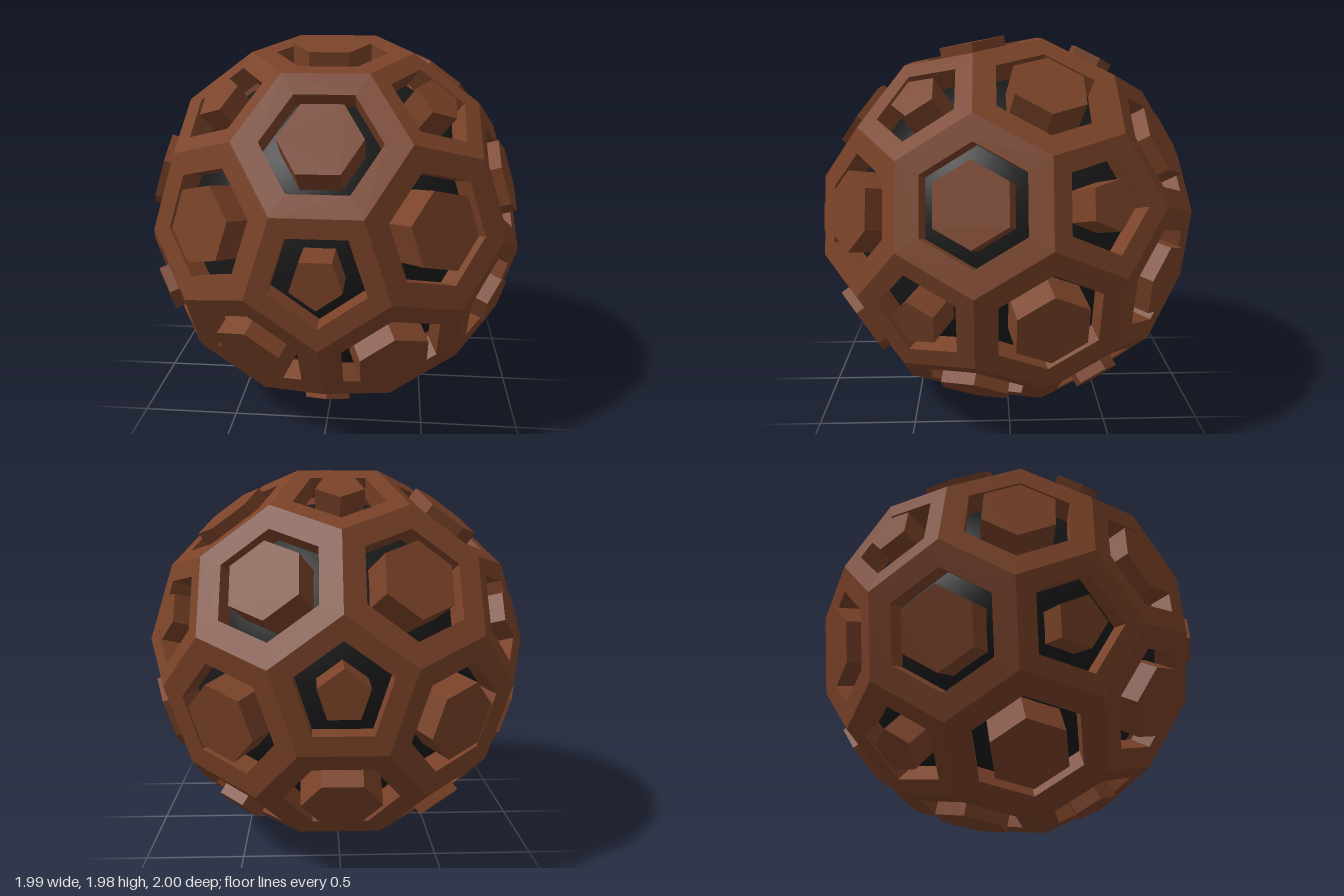
import * as THREE from 'three';

const EDGE = 0.409;          // edge length of the truncated icosahedron
const FRAME_DEPTH = 0.11;

// Regular polygon with its first corner on +x
function polygon(sides, radius, Type = THREE.Shape) {
  const points = [];
  for (let i = 0; i < sides; i++) {
    const a = (i / sides) * Math.PI * 2;
    points.push(new THREE.Vector2(Math.cos(a) * radius, Math.sin(a) * radius));
  }
  return new Type(points);
}

// Prism reaching inward from z = top
function prism(shape, top, depth) {
  const geometry = new THREE.ExtrudeGeometry(shape, { depth, bevelEnabled: false });
  return geometry.translate(0, 0, top - depth);
}

// Frame and floating block geometry for one kind of face
function panel(sides, outer, hole, block) {
  const ring = polygon(sides, outer);
  ring.holes.push(polygon(sides, hole, THREE.Path));
  return {
    frame: prism(ring, 0, FRAME_DEPTH),
    block: prism(polygon(sides, block), 0.047, 0.2),
  };
}

// Icosahedron corners with one corner facing the front
function icosahedronCorners() {
  const radius = EDGE * 3 * Math.sin(Math.PI * 0.4);
  const corners = [new THREE.Vector3(0, 0, 1), new THREE.Vector3(0, 0, -1)];
  const z = 1 / Math.sqrt(5), r = 2 / Math.sqrt(5);
  for (let i = 0; i < 5; i++) {
    const a = -Math.PI / 2 + (i * Math.PI * 2) / 5;
    corners.push(new THREE.Vector3(Math.cos(a) * r, Math.sin(a) * r, z));
    corners.push(new THREE.Vector3(-Math.cos(a) * r, -Math.sin(a) * r, -z));
  }
  return corners.map((c) => c.multiplyScalar(radius));
}

export function createModel() {
  const model = new THREE.Group();
  const ball = new THREE.Group();
  ball.name = 'ball';
  model.add(ball);

  const brown = new THREE.MeshStandardMaterial({ color: 0x7a4228, flatShading: true });
  const dark = new THREE.MeshStandardMaterial({ color: 0x1a1a1a });

  const pentagon = panel(5, EDGE / (2 * Math.sin(Math.PI / 5)), 0.235, 0.124);
  const hexagon = panel(6, EDGE, 0.281, 0.196);

  // Places a frame and block on a face; first is one corner of that face
  function addFace(kind, label, normal, distance, first) {
    const n = normal.clone().normalize();
    const x = first.clone().addScaledVector(n, -first.dot(n)).normalize();
    const y = new THREE.Vector3().crossVectors(n, x);
    const face = new THREE.Group();
    face.name = label + 'Face';
    for (const part of ['frame', 'block']) {
      const mesh = new THREE.Mesh(kind[part], brown);
      mesh.name = label + (part === 'frame' ? 'Frame' : 'Block');
      face.add(mesh);
    }
    face.quaternion.setFromRotationMatrix(new THREE.Matrix4().makeBasis(x, y, n));
    face.position.copy(n).multiplyScalar(distance);
    ball.add(face);
  }

  const corners = icosahedronCorners();
  const near = (a, b) => a !== b && a.distanceTo(b) < EDGE * 3.1;

  // Pentagons sit on the corners of the icosahedron
  for (const c of corners) {
    const first = c.clone().lerp(corners.find((o) => near(c, o)), 1 / 3);
    addFace(pentagon, 'pentagon', c, first.dot(c) / c.length(), first);
  }

  // Hexagons sit on its triangles
  for (let i = 0; i < 12; i++)
    for (let j = i + 1; j < 12; j++)
      for (let k = j + 1; k < 12; k++) {
        const [a, b, c] = [corners[i], corners[j], corners[k]];
        if (!near(a, b) || !near(b, c) || !near(a, c)) continue;
        const centre = a.clone().add(b).add(c).divideScalar(3);
        addFace(hexagon, 'hexagon', centre, centre.length(), a.clone().lerp(b, 1 / 3));
      }

  // Dark core seen through the openings
  const core = new THREE.Mesh(new THREE.SphereGeometry(0.82, 48, 32), dark);
  core.name = 'core';
  ball.add(core);

  // Stand the ball on the ground
  ball.updateMatrixWorld(true);
  ball.position.y = -new THREE.Box3().setFromObject(ball, true).min.y;
  return model;
}
